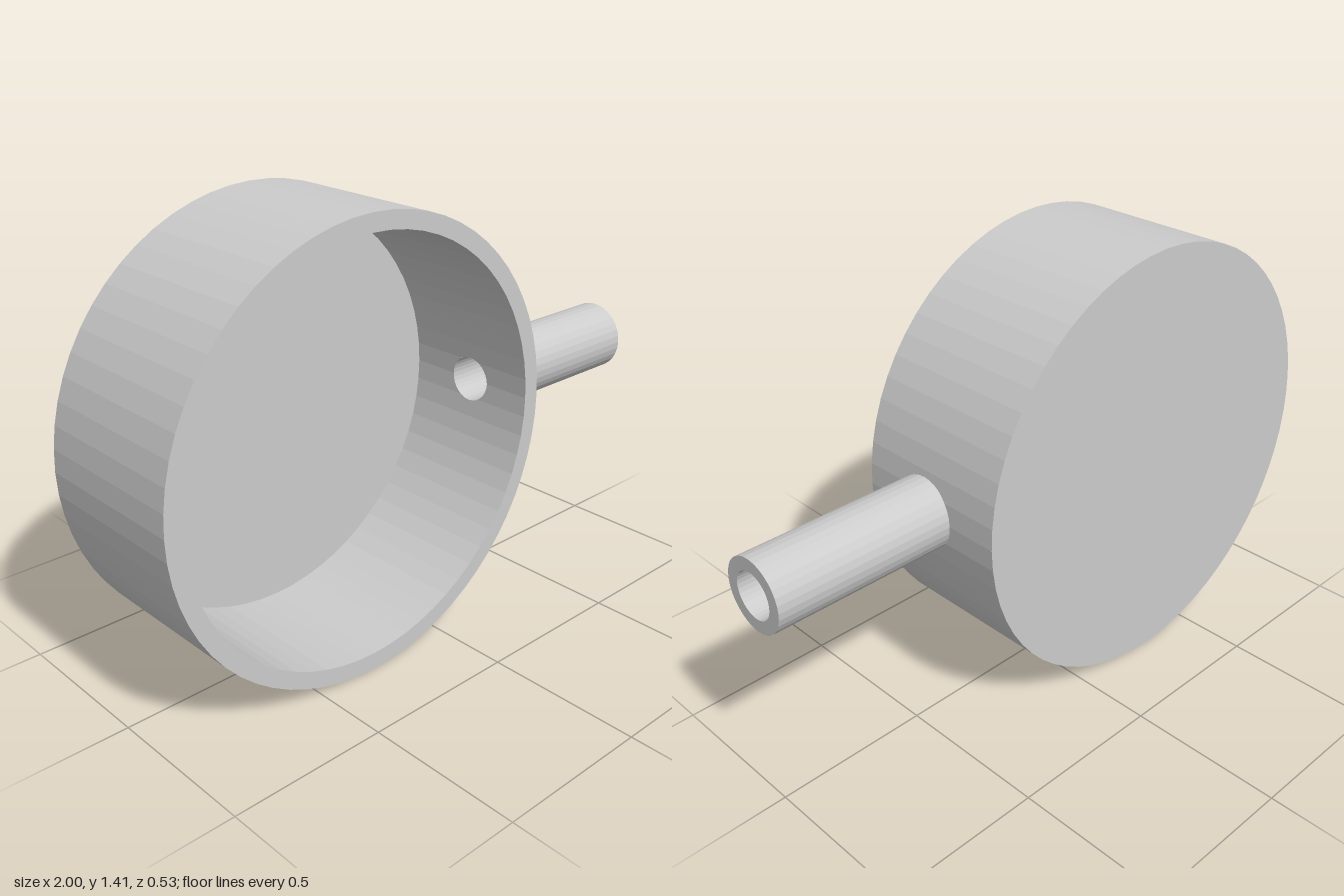
import * as THREE from 'three';

const R = 0.705, RI = 0.65;              // pan outer and inner radius
const D = 0.265, FLOOR = -0.21;          // half depth, inside floor level
const ZC = (D + FLOOR) / 2;              // pipe axis depth
const PIPE_R = 0.116, BORE_R = 0.074, PIPE_END = 1.295;
const SEGS = 64, STEP = (Math.PI * 2) / SEGS, GAP = 3; // wall facets, half width of pierced patch
const SIDES = 32;

// x of the faceted wall at height y
function wallX(y, r) {
  const j = Math.floor(Math.asin(y / r) / STEP);
  const y0 = r * Math.sin(j * STEP), y1 = r * Math.sin((j + 1) * STEP);
  const x0 = r * Math.cos(j * STEP), x1 = r * Math.cos((j + 1) * STEP);
  return x0 + ((x1 - x0) * (y - y0)) / (y1 - y0);
}

function pushQuad(out, a, b, c, d) {
  for (const p of [a, b, c, a, c, d]) out.push(...p);
}

function geometryFrom(positions) {
  const g = new THREE.BufferGeometry();
  g.setAttribute('position', new THREE.Float32BufferAttribute(positions, 3));
  g.computeVertexNormals();
  return g;
}

// Surface of revolution about z; partial ones leave the pierced patch open
function revolve(profile, partial) {
  const start = Math.PI / 2 + GAP * STEP;
  const segs = partial ? SEGS - 2 * GAP : SEGS;
  const points = profile.map(([r, z]) => new THREE.Vector2(r, z));
  return new THREE.LatheGeometry(points, segs, start, segs * STEP).rotateX(Math.PI / 2);
}

// Wall facets around the pipe, cut by a round hole
function piercedPatch(r, z0, hole, inward) {
  const rows = [];
  for (let j = -GAP; j <= GAP; j++) rows.push(r * Math.sin(j * STEP));
  for (let k = 0; k <= SIDES / 2; k++) rows.push(hole * Math.cos((k * 2 * Math.PI) / SIDES));
  rows.sort((a, b) => a - b);
  const half = (y) => Math.sqrt(Math.max(0, hole * hole - y * y));
  const p = (y, z) => [wallX(y, r), y, z];
  const out = [];
  for (let i = 0; i < rows.length - 1; i++) {
    const [a, b] = [rows[i], rows[i + 1]];
    if (b - a < 1e-6) continue;
    const below = [p(a, z0), p(b, z0), p(b, ZC - half(b)), p(a, ZC - half(a))];
    const above = [p(a, ZC + half(a)), p(b, ZC + half(b)), p(b, D), p(a, D)];
    for (const q of [below, above]) pushQuad(out, ...(inward ? q.reverse() : q));
  }
  return geometryFrom(out);
}

// Hollow pipe lofted from the outer wall, round the open end, back to the inner wall
function pipeGeometry() {
  const ring = (r, xOf) => Array.from({ length: SIDES }, (_, k) => {
    const t = (k * 2 * Math.PI) / SIDES, y = r * Math.cos(t);
    return [xOf(y), y, ZC + r * Math.sin(t)];
  });
  const rings = [
    ring(PIPE_R, (y) => wallX(y, R)),
    ring(PIPE_R, () => PIPE_END),
    ring(BORE_R, () => PIPE_END),
    ring(BORE_R, (y) => wallX(y, RI)),
  ];
  const out = [];
  for (let i = 0; i < rings.length - 1; i++) {
    for (let k = 0; k < SIDES; k++) {
      const n = (k + 1) % SIDES;
      pushQuad(out, rings[i][k], rings[i][n], rings[i + 1][n], rings[i + 1][k]);
    }
  }
  return geometryFrom(out);
}

export function createModel() {
  const model = new THREE.Group();
  model.name = 'panWithPipe';
  const material = new THREE.MeshStandardMaterial({ color: 0xcccccc, flatShading: true });
  const add = (name, geometry) => {
    const mesh = new THREE.Mesh(geometry, material);
    mesh.name = name;
    model.add(mesh);
  };

  // Round pan, open to the front
  add('panBack', revolve([[0, -D], [R, -D]]));
  add('panRim', revolve([[R, D], [RI, D]]));
  add('panFloor', revolve([[RI, FLOOR], [0, FLOOR]]));
  add('outerWall', revolve([[R, -D], [R, D]], true));
  add('innerWall', revolve([[RI, D], [RI, FLOOR]], true));
  add('outerWallAroundPipe', piercedPatch(R, -D, PIPE_R, false));
  add('innerWallAroundBore', piercedPatch(RI, FLOOR, BORE_R, true));

  // Side pipe opening into the pan
  add('pipe', pipeGeometry());

  model.position.set(-0.295, R, 0);
  return model;
}
